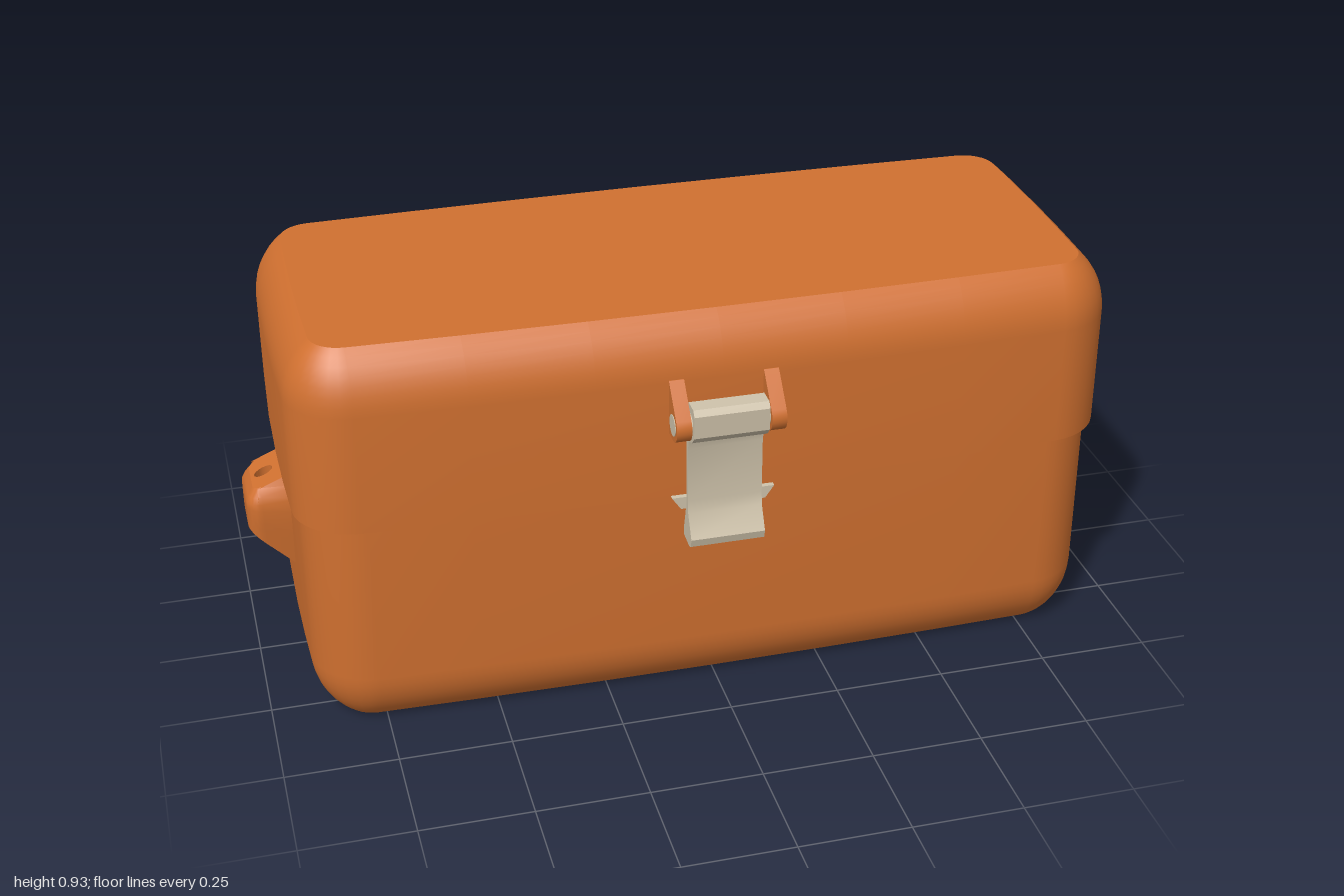
import * as THREE from 'three';
import { toCreasedNormals } from 'three/addons/utils/BufferGeometryUtils.js';

const CREASE = 0.5;
const ARC = 52 * Math.PI / 180; // sweep of the rounded top and bottom edges
const ARC_R = 0.17;
const ARC_H = ARC_R * Math.sin(ARC);

// Plan outline of the box: rounded rectangle with gently bowed sides
function planLoop(W, zf, zb, r, inset) {
  const half = [];
  const w = W - inset, f = zf - inset, b = zb + inset, rr = r - inset, n = 8;
  const corner = (cz, a0) => {
    for (let i = 0; i <= n; i++) {
      const a = a0 + (i / n) * Math.PI / 2;
      half.push([w - rr + rr * Math.sin(a), cz + rr * Math.cos(a)]);
    }
  };
  [0, 0.28, 0.55].forEach((x) => half.push([x, f]));
  corner(f - rr, 0);
  [0.14, 0, -0.179].forEach((z) => half.push([w, z]));
  corner(b + rr, Math.PI / 2);
  [0.55, 0.28, 0].forEach((x) => half.push([x, b]));
  const left = half.slice(1, -1).reverse().map(([x, z]) => [-x, z]);
  return half.concat(left).map(([x, z]) => ({
    x: x * (1 - 0.012 * (z / 0.4) ** 2),
    z: z * (1 - 0.05 * (x / 0.92) ** 2),
    baseZ: z,
  }));
}

// Skin through stacked outlines; each row is { inset, y }, y a number or a rule of z
function shell(dim, rows, capBottom, capTop) {
  const pos = [], idx = [];
  let n = 0;
  rows.forEach(({ inset, y }) => {
    const loop = planLoop(...dim, inset);
    n = loop.length;
    loop.forEach((p) => pos.push(p.x, typeof y === 'function' ? y(p.baseZ) : y, p.z));
  });
  for (let j = 0; j < rows.length - 1; j++) {
    for (let i = 0; i < n; i++) {
      const k = (i + 1) % n;
      const a = j * n + i, b = j * n + k, c = b + n, d = a + n;
      idx.push(a, b, c, a, c, d);
    }
  }
  const cap = (row, up) => {
    const centre = pos.length / 3;
    pos.push(0, rows[row].y, 0);
    for (let i = 0; i < n; i++) {
      const a = row * n + i, b = row * n + (i + 1) % n;
      if (up) idx.push(centre, a, b);
      else idx.push(centre, b, a);
    }
  };
  if (capBottom) cap(0, false);
  if (capTop) cap(rows.length - 1, true);
  const g = new THREE.BufferGeometry();
  g.setAttribute('position', new THREE.Float32BufferAttribute(pos, 3));
  g.setIndex(idx);
  return toCreasedNormals(g, CREASE);
}

// Side profile of [z, y] points, extruded to a width in x
function profileX(points, width) {
  const shape = new THREE.Shape(points.map(([z, y]) => new THREE.Vector2(z, y)));
  const g = new THREE.ExtrudeGeometry(shape, { depth: width, bevelEnabled: false });
  g.translate(0, 0, -width / 2).rotateY(-Math.PI / 2);
  return toCreasedNormals(g, CREASE);
}

// Points around a pin, from angle a to angle b in degrees
function arcPoints(cz, cy, r, a, b, n = 8) {
  return Array.from({ length: n + 1 }, (_, i) => {
    const t = (a + (b - a) * i / n) * Math.PI / 180;
    return [cz + r * Math.cos(t), cy + r * Math.sin(t)];
  });
}

function pinGeometry(r, length) {
  return new THREE.CylinderGeometry(r, r, length, 20).rotateZ(Math.PI / 2);
}

// Padlock lug: plan shape with a hole, sheared to sloping top and bottom faces
function lugGeometry() {
  const s = new THREE.Shape();
  s.moveTo(0.88, -0.082);
  s.lineTo(0.965, -0.082);
  s.quadraticCurveTo(1, -0.08, 1, -0.045);
  s.lineTo(1, 0.045);
  s.quadraticCurveTo(1, 0.08, 0.965, 0.082);
  s.lineTo(0.88, 0.082);
  const hole = new THREE.Path();
  hole.absarc(0.953, 0, 0.021, 0, Math.PI * 2, true);
  s.holes.push(hole);
  const g = new THREE.ExtrudeGeometry(s, { depth: 1, steps: 8, bevelEnabled: false, curveSegments: 8 });
  g.rotateX(-Math.PI / 2);
  const p = g.attributes.position;
  for (let i = 0; i < p.count; i++) {
    const t = p.getY(i);
    const e = (Math.max(0, t - 0.7) / 0.3) ** 2;
    const x = p.getX(i) - (p.getX(i) > 0.98 ? 0.018 * e : 0);
    const low = 0.27 + (x - 0.905) * 1.05;
    const high = 0.497 - (x - 0.905) * 0.42;
    const y = low + (high - low) * t;
    const taper = 1 - 0.15 * Math.max(0, (0.4 - y) / 0.13) - 0.2 * e;
    p.setXYZ(i, x, y, p.getZ(i) * taper);
  }
  return toCreasedNormals(g, CREASE);
}

export function createModel() {
  const orange = new THREE.MeshStandardMaterial({ color: 0xd07030 });
  orange.name = 'orange plastic';
  const beige = new THREE.MeshStandardMaterial({ color: 0xcfc3ab });
  beige.name = 'beige metal';

  const model = new THREE.Group();
  model.name = 'latchedCase';
  const add = (name, geometry, material, x = 0, y = 0, z = 0, parent = model) => {
    const m = new THREE.Mesh(geometry, material);
    m.name = name;
    m.position.set(x, y, z);
    parent.add(m);
    return m;
  };

  // Edge rounding shared by body and lid
  const steps = [0, 1, 2, 3, 4, 5, 6, 7].map((i) => ARC * i / 7);
  const inset = (a) => ARC_R * (1 - Math.cos(a));

  // Body, running up inside the lid
  const bodyRows = [...steps].reverse().map((a) => ({ inset: inset(a), y: ARC_H - ARC_R * Math.sin(a) }));
  bodyRows.push({ inset: 0, y: 0.6 });
  add('body', shell([0.906, 0.396, -0.377, 0.13], bodyRows, true, true), orange);

  // Lid, with its rim stepping up towards the hinges
  const rim = (z) => 0.518 + 0.072 * THREE.MathUtils.clamp((-0.179 - z) / 0.071, 0, 1);
  const lidRows = [{ inset: 0.03, y: rim }, { inset: 0, y: rim }];
  steps.forEach((a) => lidRows.push({ inset: inset(a), y: 0.927 - ARC_H + ARC_R * Math.sin(a) }));
  add('lid', shell([0.921, 0.41, -0.381, 0.13], lidRows, false, true), orange);

  // Front latch: two ears, pin, lever and catch
  const latch = new THREE.Group();
  latch.name = 'latch';
  model.add(latch);
  const ear = profileX([[0.39, 0.676], ...arcPoints(0.444, 0.71, 0.035, -90, 40), [0.41, 0.8], [0.39, 0.8]], 0.033);
  for (const s of [-1, 1]) add('latchEar', ear, orange, s * 0.104, 0, 0, latch);
  add('latchPin', pinGeometry(0.024, 0.244), beige, 0, 0.712, 0.444, latch);
  add('latchLever', profileX([
    [0.416, 0.5], [0.396, 0.43], [0.394, 0.408], [0.44, 0.403], [0.453, 0.409], [0.458, 0.428],
    [0.43, 0.48], [0.427, 0.51], [0.427, 0.64], [0.433, 0.662], [0.46, 0.672], [0.476, 0.69],
    [0.478, 0.742], [0.468, 0.755], [0.43, 0.755], [0.416, 0.73],
  ], 0.166), beige, 0, 0, 0, latch);
  const catchShape = new THREE.Shape([[-0.095, 0.485], [0.095, 0.485], [0.115, 0.514], [-0.115, 0.514]]
    .map(([x, y]) => new THREE.Vector2(x, y)));
  add('latchCatch', new THREE.ExtrudeGeometry(catchShape, { depth: 0.03, bevelEnabled: false }),
    beige, 0, 0, 0.385, latch);

  // Rear hinges: lid knuckle between two body knuckles on a pin
  const lidKnuckle = profileX([
    [-0.36, 0.687], [-0.38, 0.687], [-0.472, 0.592], [-0.48, 0.575], [-0.477, 0.561],
    [-0.466, 0.554], [-0.44, 0.556], [-0.385, 0.605], [-0.36, 0.605],
  ].reverse(), 0.1);
  const bodyKnuckle = profileX([
    [-0.36, 0.497], [-0.36, 0.585], [-0.385, 0.605], ...arcPoints(-0.42, 0.593, 0.034, 60, 220), [-0.378, 0.497],
  ], 0.063);
  for (const s of [-1, 1]) {
    const hinge = new THREE.Group();
    hinge.name = s > 0 ? 'leftHinge' : 'rightHinge';
    hinge.position.x = s * 0.525;
    model.add(hinge);
    add('lidKnuckle', lidKnuckle, orange, 0, 0, 0, hinge);
    for (const k of [-1, 1]) add('bodyKnuckle', bodyKnuckle, orange, k * 0.088, 0, 0, hinge);
    add('hingePin', pinGeometry(0.024, 0.242), beige, 0, 0.593, -0.42, hinge);
  }

  // Padlock lugs on both ends
  const lug = lugGeometry();
  add('leftLug', lug, orange, 0, 0, 0.0075);
  add('rightLug', lug, orange, 0, 0, 0.0075).rotation.y = Math.PI;

  return model;
}
